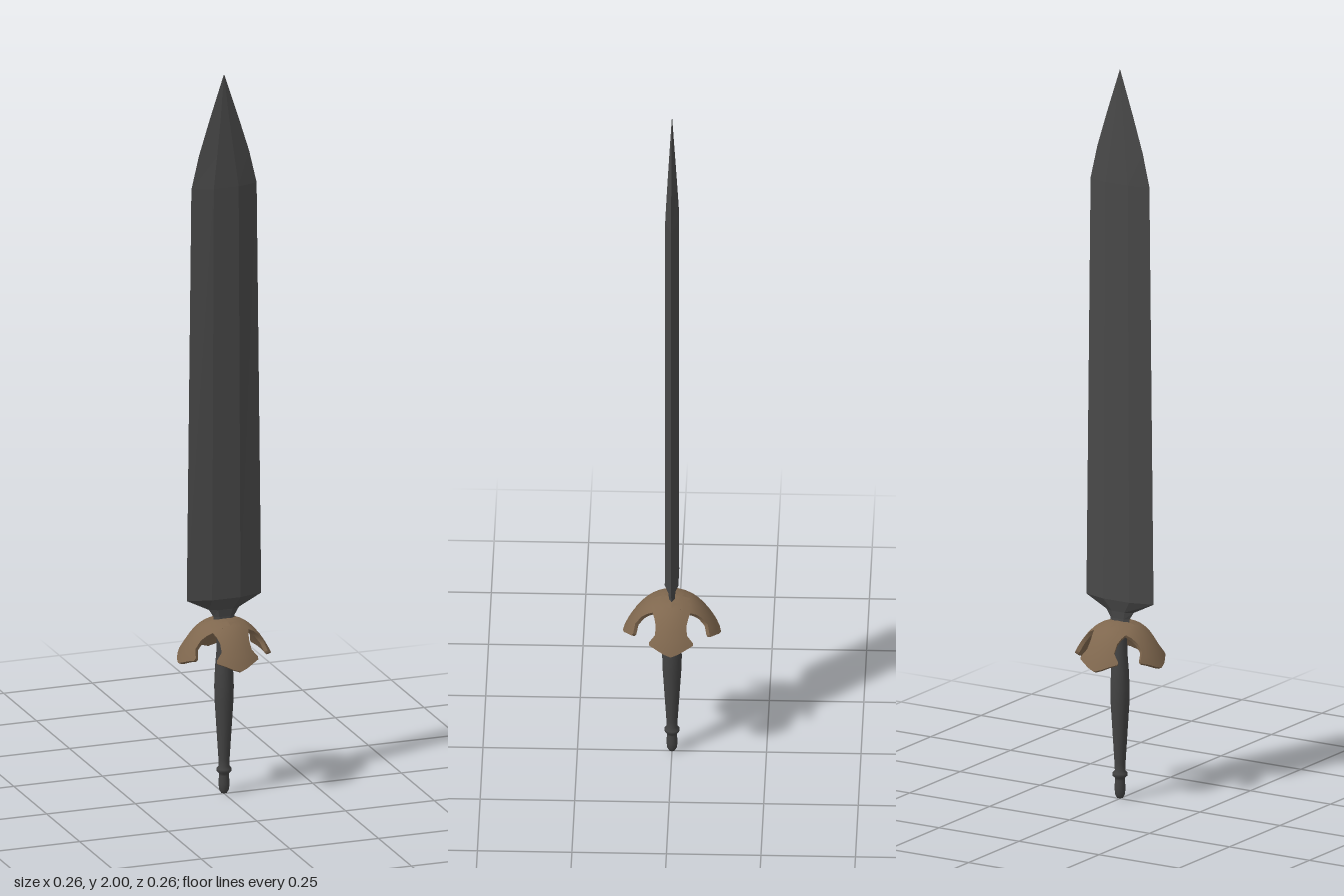
import * as THREE from 'three';

const steel = new THREE.MeshStandardMaterial({ color: 0x484848 });
steel.name = 'darkSteel';
steel.flatShading = true;
const gripSteel = new THREE.MeshStandardMaterial({ color: 0x434343 });
gripSteel.name = 'gripSteel';
const bronze = new THREE.MeshStandardMaterial({ color: 0x7f674e });
bronze.name = 'bronze';

// Blade: hexagonal cross-sections [y, half width, half flat, half thickness]
function bladeGeometry() {
  const sections = [
    [0.46, 0.028, 0.016, 0.008],
    [0.495, 0.03, 0.016, 0.008],
    [0.515, 0.042, 0.02, 0.01],
    [0.547, 0.105, 0.04, 0.018],
    [1.69, 0.092, 0.035, 0.017],
    [1.78, 0.071, 0.024, 0.0125],
    [1.88, 0.04, 0.012, 0.007],
    [2, 0.0005, 0.0002, 0.0002],
  ];
  const positions = [];
  const index = [];
  for (const [y, w, f, d] of sections) {
    for (const [x, z] of [[w, 0], [f, -d], [-f, -d], [-w, 0], [-f, d], [f, d]]) positions.push(x, y, z);
  }
  for (let i = 0; i < sections.length - 1; i++) {
    for (let j = 0; j < 6; j++) {
      const a = i * 6 + j, b = i * 6 + (j + 1) % 6;
      index.push(a, b, b + 6, a, b + 6, a + 6);
    }
  }
  const geo = new THREE.BufferGeometry();
  geo.setAttribute('position', new THREE.Float32BufferAttribute(positions, 3));
  geo.setIndex(index);
  const flat = geo.toNonIndexed();
  flat.computeVertexNormals();
  return flat;
}

// Guard arm: a box bent over a dome, with a flared, pointed end
function guardArmGeometry() {
  // [reach, half width, pull-back of the corners]
  const rows = [
    [0, 0.05, 0], [0.025, 0.05, 0], [0.05, 0.05, 0], [0.065, 0.045, 0], [0.08, 0.041, 0],
    [0.096, 0.042, 0], [0.112, 0.058, 0.011], [0.121, 0.058, 0.018], [0.13, 0.058, 0.025],
  ];
  const n = rows.length - 1;
  const geo = new THREE.BoxGeometry(2, 1, 1, 6, 1, n);
  const p = geo.attributes.position;
  for (let i = 0; i < p.count; i++) {
    const v = p.getX(i);
    const under = p.getY(i) < 0;
    const [reach, half, pull] = rows[Math.round((p.getZ(i) + 0.5) * n)];
    let x = v * half;
    let z = reach - pull * Math.abs(v) ** 1.6;
    const r = Math.hypot(x, z);
    let y = 0.49 - 0.112 * (r / 0.13) ** 2.6;
    if (under) {
      const slope = (0.112 * 2.6 / 0.13) * (r / 0.13) ** 1.6;
      const len = Math.hypot(1, slope);
      const k = r > 0 ? 1 - (0.011 * slope / len) / r : 1;
      x *= k;
      z *= k;
      y -= 0.011 / len;
    }
    p.setXYZ(i, x, y, z);
  }
  geo.computeVertexNormals();
  return geo;
}

export function createModel() {
  const model = new THREE.Group();
  const add = (name, geo, mat, parent = model) => {
    const mesh = new THREE.Mesh(geo, mat);
    mesh.name = name;
    parent.add(mesh);
    return mesh;
  };

  add('blade', bladeGeometry(), steel);

  // Four curved arms around the handle
  const guard = new THREE.Group();
  guard.name = 'guard';
  model.add(guard);
  const arm = guardArmGeometry();
  for (let i = 0; i < 4; i++) add('guardArm', arm, bronze, guard).rotation.y = i * Math.PI / 2;

  // Turned handle with a collar and rounded pommel
  const profile = [
    [0, 0], [0.008, 0.003], [0.013, 0.012], [0.015, 0.03], [0.013, 0.052], [0.014, 0.058],
    [0.02, 0.064], [0.02, 0.071], [0.014, 0.078], [0.015, 0.1], [0.02, 0.18], [0.025, 0.26],
    [0.026, 0.3], [0.024, 0.35], [0.02, 0.4], [0.018, 0.485],
  ].map(([r, y]) => new THREE.Vector2(r, y));
  add('handle', new THREE.LatheGeometry(profile, 16), gripSteel);

  return model;
}
